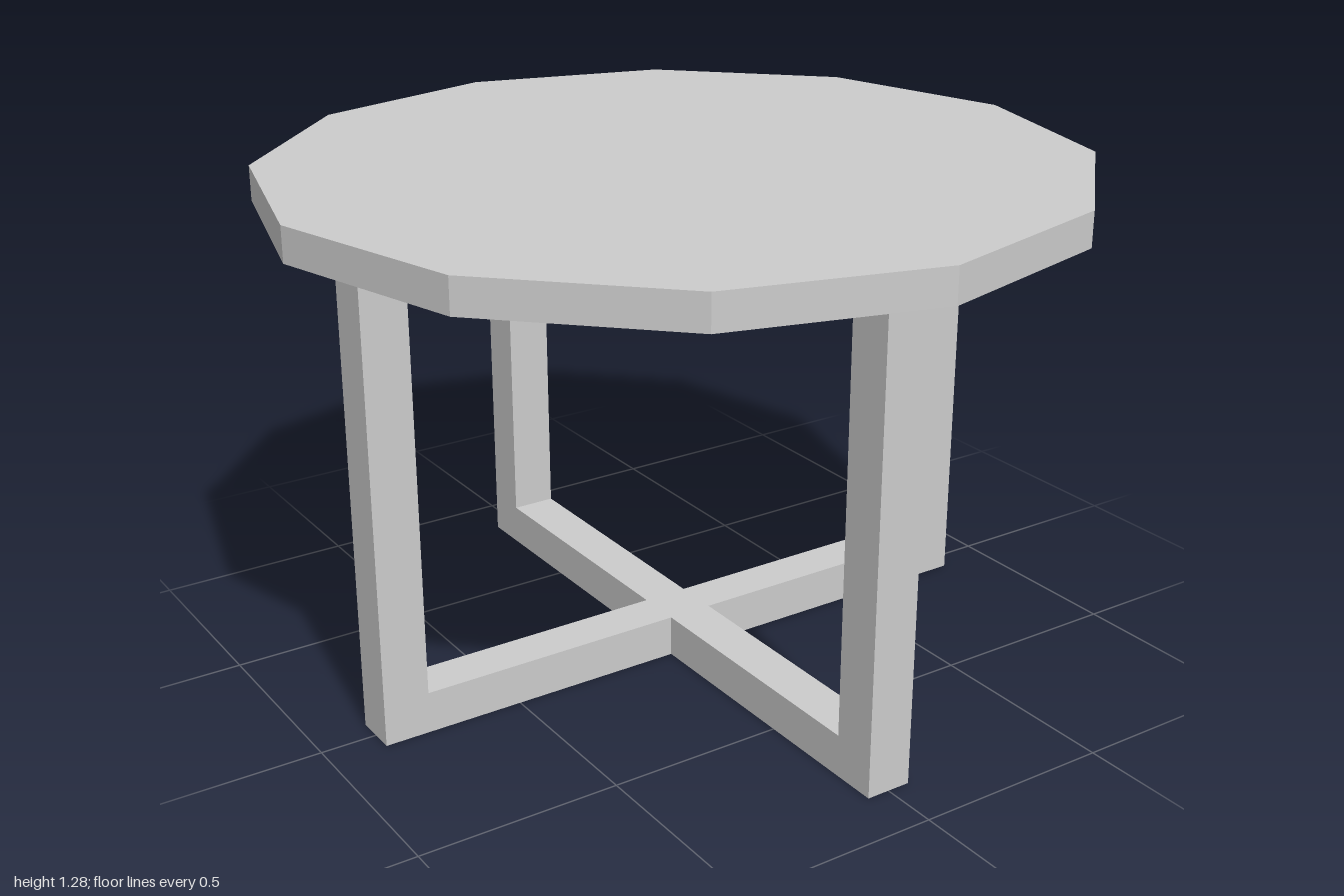
import * as THREE from 'three';

const HALF = 0.0575;    // half the thickness of legs and rails
const REACH = 0.86;     // outer face of the legs
const RAIL_TOP = 0.105;
const TOP_BOTTOM = 1.195;
const TOP_HEIGHT = 0.085;

export function createModel() {
  const table = new THREE.Group();
  table.name = 'roundTable';
  const material = new THREE.MeshStandardMaterial({ color: 0xcccccc, flatShading: true });

  const add = (name, geometry, x, y, z) => {
    const mesh = new THREE.Mesh(geometry, material);
    mesh.name = name;
    mesh.position.set(x, y, z);
    table.add(mesh);
    return mesh;
  };

  // Twelve-sided table top
  add('tableTop', new THREE.CylinderGeometry(1, 1, TOP_HEIGHT, 12), 0, TOP_BOTTOM + TOP_HEIGHT / 2, 0);

  // Crossed floor rails as one plus-shaped slab
  const corners = [];
  for (let i = 0; i < 4; i++) {
    const origin = new THREE.Vector2();
    for (const [x, y] of [[REACH, -HALF], [REACH, HALF], [HALF, HALF]]) {
      corners.push(new THREE.Vector2(x, y).rotateAround(origin, i * Math.PI / 2));
    }
  }
  const cross = new THREE.ExtrudeGeometry(new THREE.Shape(corners), { depth: RAIL_TOP, bevelEnabled: false });
  cross.rotateX(-Math.PI / 2);
  add('crossBase', cross, 0, 0, 0);

  // Four legs rising from the rail ends to the top
  const legHeight = TOP_BOTTOM - RAIL_TOP;
  const legGeometry = new THREE.BoxGeometry(2 * HALF, legHeight, 2 * HALF);
  const r = REACH - HALF;
  for (const [name, x, z] of [['leftLeg', r, 0], ['rightLeg', -r, 0], ['frontLeg', 0, r], ['backLeg', 0, -r]]) {
    add(name, legGeometry, x, RAIL_TOP + legHeight / 2, z);
  }

  return table;
}
